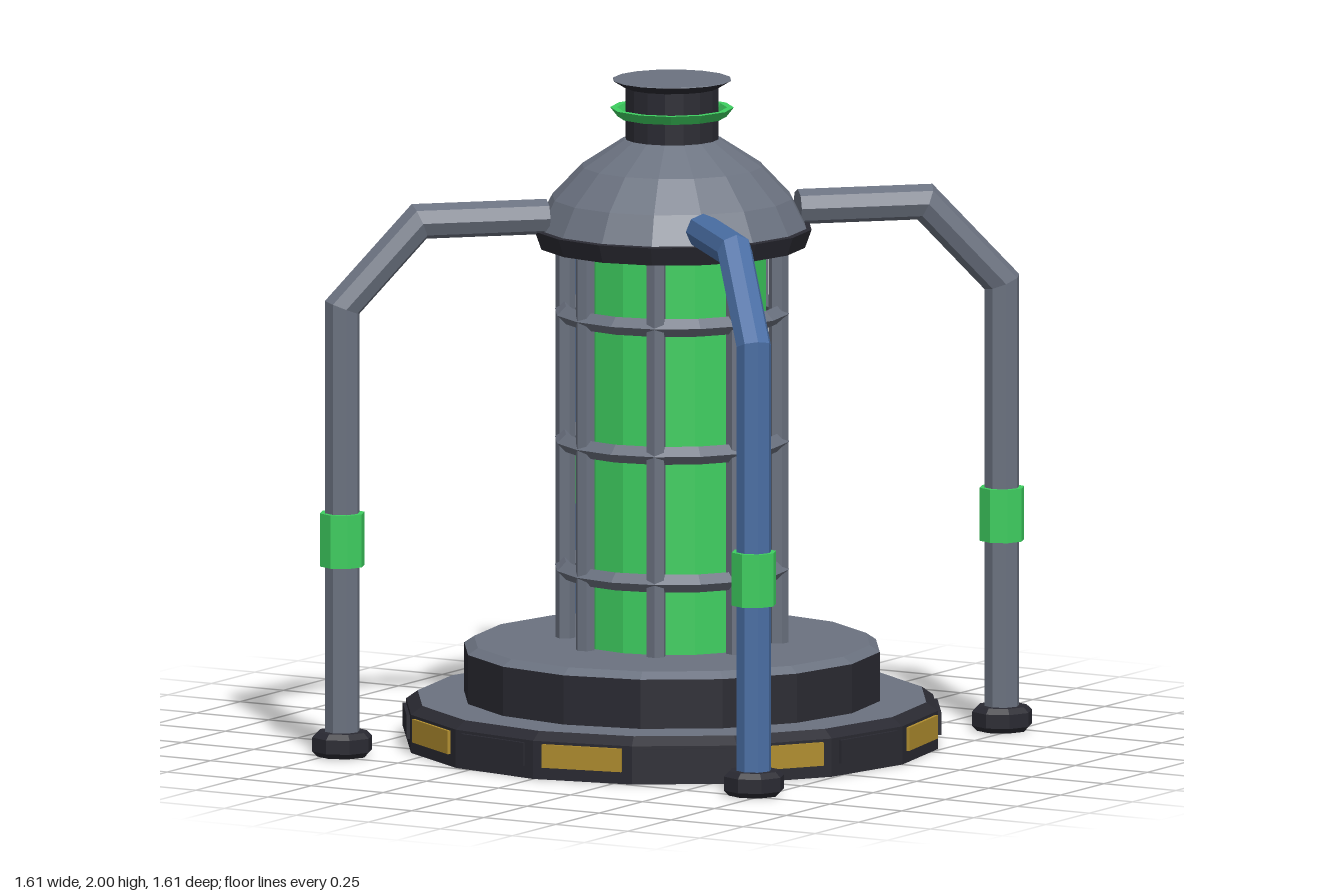
import * as THREE from 'three';

const mat = (name, color) => {
  const m = new THREE.MeshStandardMaterial({ color });
  m.name = name;
  return m;
};

// Faceted normals for the low-poly look
function flat(geo) {
  const g = geo.index ? geo.toNonIndexed() : geo;
  g.computeVertexNormals();
  return g;
}

const lathe = (points, sides = 16) =>
  flat(new THREE.LatheGeometry(points.map(([r, y]) => new THREE.Vector2(r, y)), sides));

// Capped tube with mitred bends along a path in the xy plane
function mitredPipe(path, radius, sides) {
  const pts = path.map(([x, y]) => new THREE.Vector2(x, y));
  const dir = pts.slice(1).map((p, i) => p.clone().sub(pts[i]).normalize());
  const rings = pts.map((p, i) => {
    const a = dir[Math.max(i - 1, 0)], b = dir[Math.min(i, dir.length - 1)];
    const t = a.clone().add(b).normalize();
    return { p, n: new THREE.Vector2(t.y, -t.x).divideScalar(t.dot(a)), r: radius };
  });
  rings.unshift({ ...rings[0], r: 0 });
  rings.push({ ...rings[rings.length - 1], r: 0 });
  const pos = [], index = [];
  rings.forEach(({ p, n, r }, i) => {
    for (let j = 0; j < sides; j++) {
      const a = (j / sides) * Math.PI * 2, c = Math.cos(a) * r;
      pos.push(p.x + n.x * c, p.y + n.y * c, Math.sin(a) * r);
      if (i === 0) continue;
      const k = (j + 1) % sides, lo = (i - 1) * sides, hi = i * sides;
      index.push(lo + j, hi + j, lo + k, lo + k, hi + j, hi + k);
    }
  });
  const g = new THREE.BufferGeometry();
  g.setAttribute('position', new THREE.Float32BufferAttribute(pos, 3));
  g.setIndex(index);
  return flat(g);
}

export function createModel() {
  const dark = mat('dark metal', 0x2a2a32);
  const grey = mat('grey metal', 0x6b7280);
  const blue = mat('blue pipe', 0x4a6fa5);
  const green = mat('glowing green', 0x3ecf60);
  const yellow = mat('warning yellow', 0xb08d2e);

  const model = new THREE.Group();
  model.name = 'containmentTank';
  const add = (name, geo, material, parent = model) => {
    const m = new THREE.Mesh(geo, material);
    m.name = name;
    parent.add(m);
    return m;
  };

  // Stepped base
  add('baseRim', lathe([[0, 0], [0.8, 0], [0.8, 0.115], [0.765, 0.14]]), dark);
  add('baseTop', lathe([[0.765, 0.14], [0, 0.14]]), grey);
  add('plinthSide', lathe([[0.625, 0.14], [0.625, 0.288]]), dark);
  add('plinthTop', lathe([[0.625, 0.288], [0.595, 0.308], [0, 0.308]]), grey);

  // Alternating plates around the rim
  const plate = new THREE.BoxGeometry(0.25, 0.07, 0.0098);
  for (let k = 0; k < 16; k++) {
    const a = ((k + 0.5) / 16) * Math.PI * 2;
    const m = add('rimPlate', plate, k % 2 ? dark : yellow);
    m.position.set(Math.sin(a) * 0.791, 0.072, Math.cos(a) * 0.791);
    m.rotation.y = a;
  }

  // Glowing tank inside a cage
  add('tank', lathe([[0.282, 0.3], [0.282, 1.51]]), green);
  const bar = flat(new THREE.CylinderGeometry(0.03, 0.03, 1.2, 6));
  for (let k = 0; k < 8; k++) {
    const a = ((k + 0.5) / 8) * Math.PI * 2;
    const m = add('cageBar', bar, grey);
    m.position.set(Math.sin(a) * 0.32, 0.91, Math.cos(a) * 0.32);
    m.rotation.y = a;
  }
  const hoop = flat(new THREE.TorusGeometry(0.325, 0.027, 4, 16));
  for (const y of [0.53, 0.915, 1.3]) {
    const m = add('cageHoop', hoop, grey);
    m.position.y = y;
    m.rotation.x = Math.PI / 2;
  }

  // Collar, dome and neck
  add('collar', lathe([[0, 1.5], [0.4, 1.5], [0.42, 1.555], [0.4, 1.558]]), dark);
  add('dome', lathe([[0.405, 1.556], [0.36, 1.645], [0.27, 1.74], [0.147, 1.82], [0, 1.835]]), grey);
  add('neck', lathe([[0.14, 1.81], [0.14, 1.975], [0.178, 1.998]]), dark);
  add('neckCap', lathe([[0.178, 1.998], [0.176, 2], [0, 2]]), grey);
  add('neckRing', lathe([[0.152, 1.886], [0.162, 1.886], [0.184, 1.914], [0.164, 1.914], [0.152, 1.886]], 12), green);

  // Four bent pipes with clamps and feet
  const legX = 1.011;
  const pipe = mitredPipe([[legX, 0.004], [legX, 1.35], [0.775, 1.6], [0.385, 1.6]], 0.053, 8);
  const clamp = flat(new THREE.CylinderGeometry(0.068, 0.068, 0.16, 8));
  const foot = lathe([[0.05, 0], [0.076, 0], [0.092, 0.016], [0.092, 0.058], [0.076, 0.074], [0.05, 0.074]], 8);
  for (let k = 0; k < 4; k++) {
    const leg = new THREE.Group();
    leg.name = 'pipeLeg';
    leg.rotation.y = -Math.PI / 4 + (k * Math.PI) / 2;
    add('pipe', pipe, k % 2 ? grey : blue, leg);
    add('pipeClamp', clamp, green, leg).position.set(legX, 0.652, 0);
    add('pipeFoot', foot, dark, leg).position.x = legX;
    model.add(leg);
  }
  return model;
}
